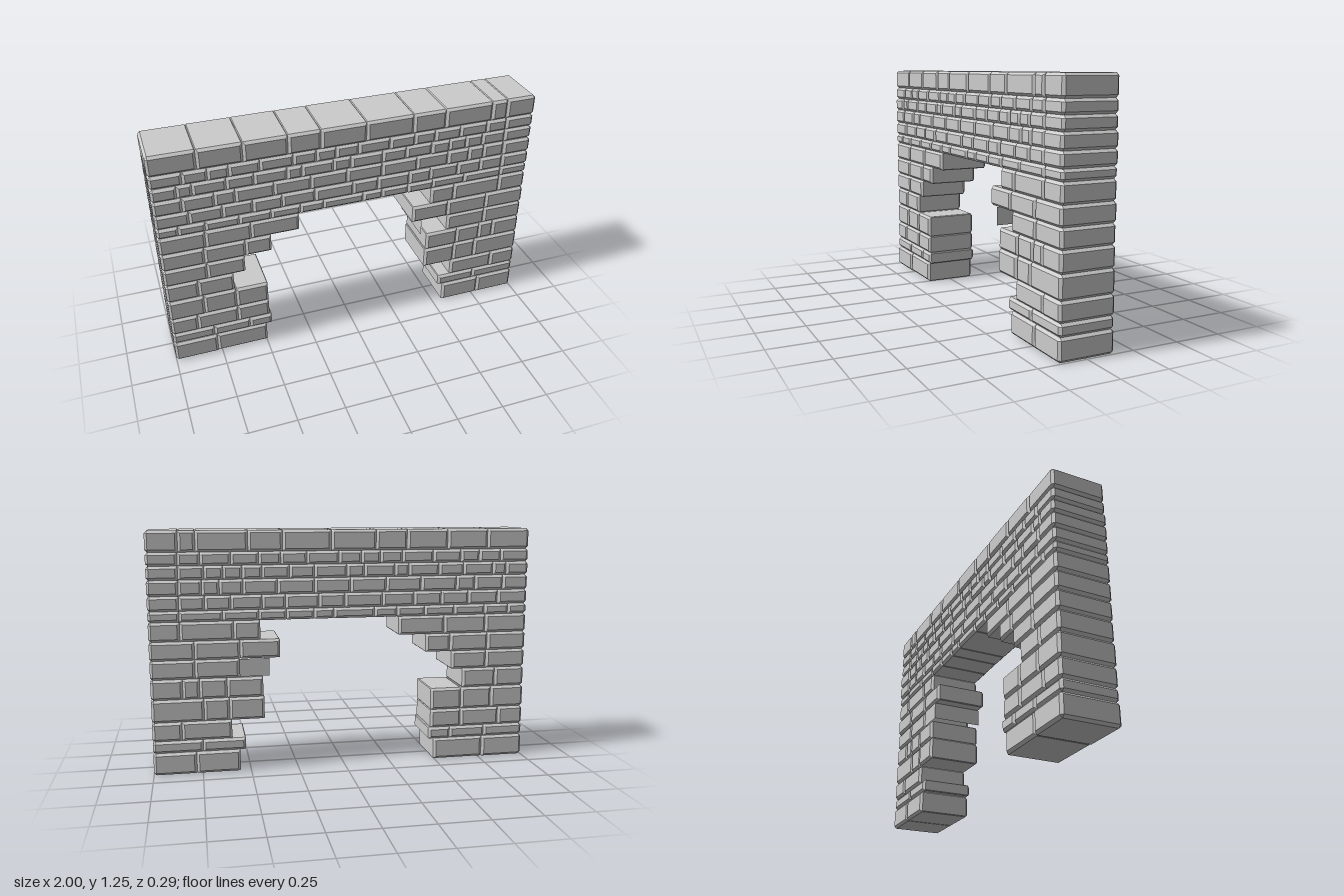
import * as THREE from 'three';
import { ConvexGeometry } from 'three/addons/geometries/ConvexGeometry.js';

const HALF_DEPTH = 0.147;
const BEVEL = 0.013;
const QUOIN = 0.845; // inner joint of the corner stones above the opening

// Leg courses from the ground up: height, right leg joints inwards, left leg joints outwards
const legCourses = [
  [0.115, [-0.77, -0.495], [0.555, 0.78]],
  [0.063, [-0.78, -0.585, -0.465], [0.525, 0.745]],
  [0.099, [-0.86, -0.645, -0.475], [0.595, 0.85]],
  [0.118, [-0.815, -0.645, -0.475], [0.425, 0.605, 0.735]],
  [0.105, [-0.835, -0.65], [0.43, 0.615, 0.755, 0.84]],
  [0.098, [-0.78, -0.585], [0.55, 0.775]],
  [0.097, [-0.785, -0.575, -0.44], [0.34, 0.545, 0.775]],
  [0.099, [-0.77, -0.54, -0.29], [0.44, 0.575, 0.845]],
];
// Courses across the opening: height, number of stones
const spanCourses = [[0.055, 13], [0.076, 13], [0.08, 13], [0.07, 16], [0.068, 15]];
const copingHeight = 0.107;
const copingJoints = [-1, -0.77, -0.55, -0.33, -0.165, 0.07, 0.32, 0.495, 0.755, 0.84, 1];

// Small repeatable random sequence
function makeRandom(seed) {
  return () => (seed = (seed * 16807) % 2147483647) / 2147483647;
}

// Uneven stone lengths filling a course up to its corner stone
function unevenJoints(count, random) {
  const lengths = Array.from({ length: count - 1 }, () => 0.6 + 0.8 * random());
  const scale = (QUOIN + 1) / lengths.reduce((sum, length) => sum + length, 0);
  const joints = [-1];
  for (const length of lengths) joints.push(joints[joints.length - 1] + length * scale);
  return [...joints, 1];
}

// Stone with chamfered front and back; the wall's outer ends get a wider corner cut
function stoneGeometry(x0, x1, y0, y1, depth) {
  const points = [];
  for (const side of [-1, 1]) {
    for (const [x, inward] of [[x0, 1], [x1, -1]]) {
      for (const [y, up] of [[y0, 1], [y1, -1]]) {
        const cut = Math.abs(x) > 0.99 ? BEVEL : 0.004;
        const shoulder = side * (depth - BEVEL);
        points.push(
          new THREE.Vector3(x + inward * cut, y, shoulder),
          new THREE.Vector3(x, y + up * cut, shoulder),
          new THREE.Vector3(x + inward * BEVEL, y + up * BEVEL, side * depth)
        );
      }
    }
  }
  return new ConvexGeometry(points);
}

export function createModel() {
  const model = new THREE.Group();
  model.name = 'ruinedStoneArch';
  const stoneMaterial = new THREE.MeshStandardMaterial({ color: 0xcccccc, flatShading: true });
  const shellMaterial = new THREE.MeshStandardMaterial({
    color: 0xcccccc, flatShading: true, side: THREE.DoubleSide,
  });
  const random = makeRandom(7);
  let y = 0;

  // Lays one course of stones on top of the last
  function addCourse(name, height, runs) {
    const course = new THREE.Group();
    course.name = name;
    for (const joints of runs) {
      for (let i = 0; i < joints.length - 1; i++) {
        const depth = HALF_DEPTH - 0.005 * random();
        const geometry = stoneGeometry(joints[i], joints[i + 1], y, y + height, depth);
        const stone = new THREE.Mesh(geometry, stoneMaterial);
        stone.name = 'stone';
        course.add(stone);
      }
    }
    model.add(course);
    y += height;
  }

  // Two legs, the wall over the opening, and the coping
  legCourses.forEach(([height, right, left], i) => {
    addCourse(`legCourse${i + 1}`, height, [[-1, ...right], [...left, 1]]);
  });
  spanCourses.forEach(([height, count], i) => {
    addCourse(`spanCourse${i + 1}`, height, [unevenJoints(count, random)]);
  });
  addCourse('copingCourse', copingHeight, [copingJoints]);

  // Hollow broken stone in the left leg: only its end and back remain
  const broken = new THREE.Group();
  broken.name = 'brokenStone';
  const end = new THREE.Mesh(new THREE.PlaneGeometry(2 * HALF_DEPTH - 0.02, 0.092), shellMaterial);
  end.name = 'brokenStoneEnd';
  end.rotation.y = -Math.PI / 2;
  end.position.set(0.396, 0.55, 0);
  const back = new THREE.Mesh(new THREE.PlaneGeometry(0.154, 0.092), shellMaterial);
  back.name = 'brokenStoneBack';
  back.rotation.y = Math.PI;
  back.position.set(0.473, 0.55, -HALF_DEPTH + 0.01);
  broken.add(end, back);
  model.add(broken);

  return model;
}
